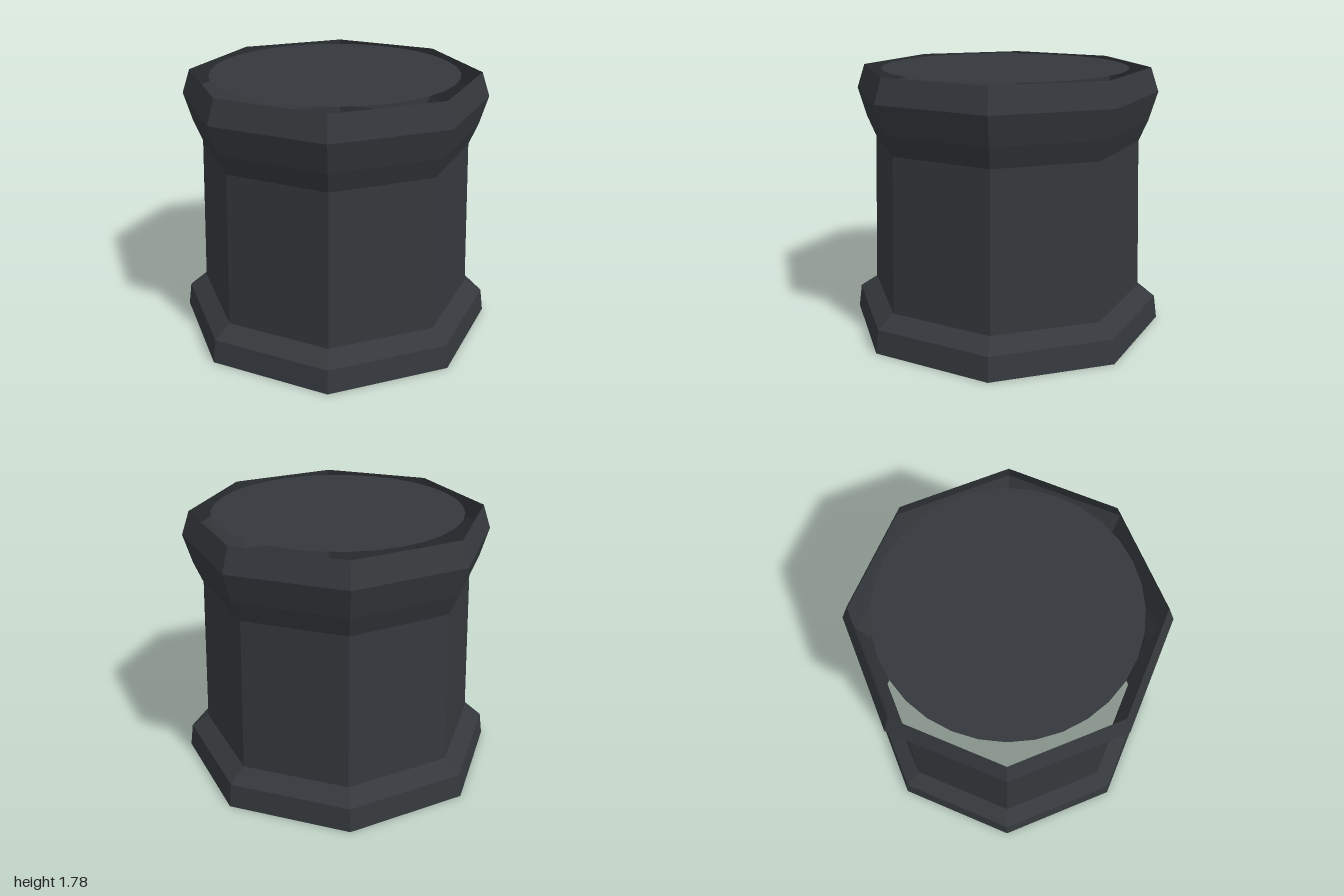
import * as THREE from 'three';

export function createModel() {
  const group = new THREE.Group();
  const material = new THREE.MeshStandardMaterial({
    color: 0x34383c, flatShading: true, side: THREE.DoubleSide,
  });

  // Thin turned surface from [radius, height] pairs
  function turned(name, profile, sides, start, scale = 1) {
    const points = profile.map(([r, y]) => new THREE.Vector2(r * scale, y));
    const mesh = new THREE.Mesh(new THREE.LatheGeometry(points, sides, start), material);
    mesh.name = name;
    group.add(mesh);
  }

  // Octagonal open shell; radii are measured to the flats
  const toCorner = 1 / Math.cos(Math.PI / 8);
  const octagon = (name, profile) => turned(name, profile, 8, Math.PI / 8, toCorner);
  octagon('base', [[1, 0], [0.98, 0.16], [0.87, 0.24]]);
  octagon('column', [[0.87, 0.24], [0.835, 1.28]]);
  octagon('flaredRim', [[0.835, 1.28], [0.89, 1.42], [0.943, 1.615], [0.893, 1.775]]);

  // Round lid, very slightly crowned, level with the rim
  turned('lid', [[0.825, 1.773], [0, 1.779]], 32, 0);

  return group;
}
